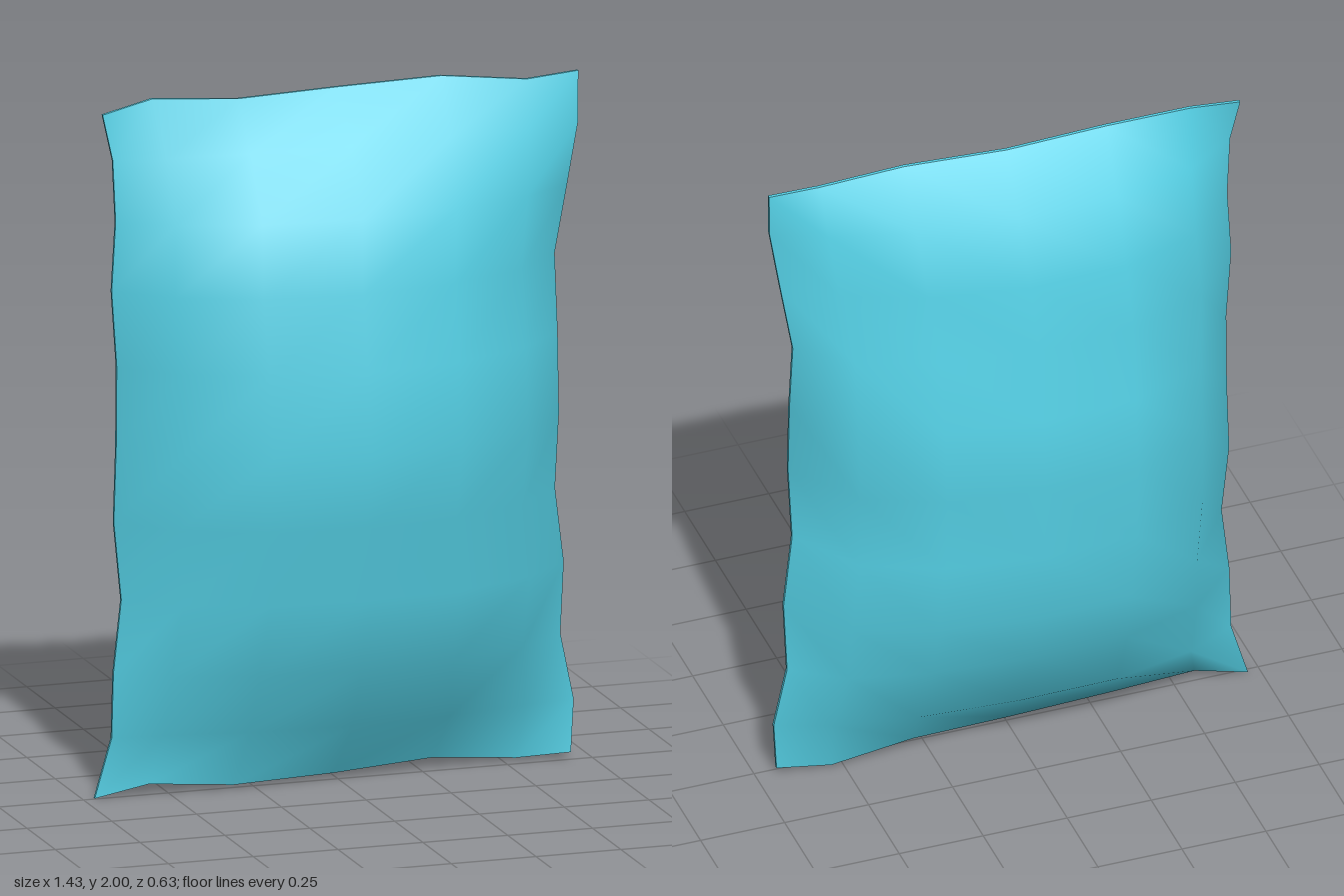
import * as THREE from 'three';

// Seam outline, rows run bottom to top, columns run right (-x) to left (+x)
const rowY = [0, 0.17, 0.36, 0.57, 0.79, 1.01, 1.24, 1.46, 1.66, 1.84, 2];
const edgeMinX = [-0.715, -0.665, -0.665, -0.64, -0.657, -0.65, -0.65, -0.665, -0.655, -0.665, -0.69];
const edgeMaxX = [0.69, 0.7, 0.664, 0.669, 0.638, 0.643, 0.646, 0.647, 0.677, 0.702, 0.712];
const edgeMinZ = [-0.015, -0.01, 0.005, 0, -0.015, -0.015, -0.01, -0.01, -0.005, 0, -0.02];
const edgeMaxZ = [-0.015, -0.02, -0.03, -0.015, 0, 0.02, 0, -0.03, -0.01, 0.01, -0.02];
const colX = [-1, -0.78, -0.43, 0, 0.43, 0.78, 1];
const bottomY = [0, 0.033, 0.013, 0.018, 0.032, 0.008, 0.018];
const bottomZ = [-0.01, 0.005, 0.015, -0.005, -0.03, -0.04, -0.015];
const topY = [1.97, 2, 1.985, 1.99, 2, 1.975, 1.985];
const topZ = [-0.015, -0.035, -0.015, -0.035, -0.025, -0.005, -0.015];

// Bulge of each panel: mid heights, depth along the height, fullness across
// the width, and how strongly each row gathers to the middle on the -x and +x half
const front = {
  midY: rowY,
  depth: [0, 0.08, 0.2, 0.237, 0.278, 0.315, 0.278, 0.252, 0.19, 0.065, 0],
  full: [0, 0.5, 0.86, 1, 0.88, 0.53, 0],
  gatherMin: [1, 2.2, 1.2, 1, 1, 1, 1, 1, 1.1, 1.2, 1],
  gatherMax: [1, 2.2, 1.2, 1, 1, 1, 1, 1.05, 1.2, 1.3, 1],
  side: 1,
};
const back = {
  midY: [0, 0.18, 0.355, 0.555, 0.75, 1, 1.225, 1.435, 1.645, 1.835, 2],
  depth: [0, -0.16, -0.21, -0.3, -0.285, -0.315, -0.295, -0.247, -0.232, -0.157, 0],
  full: [0, 0.66, 0.98, 1, 0.88, 0.59, 0],
  gatherMin: [1, 1.4, 1.1, 1, 1, 1, 1, 1, 1, 1.1, 1],
  gatherMax: [1, 1.4, 1.1, 1, 1, 1, 1, 1.2, 1.8, 1.6, 1],
  side: -1,
};
const ROWS = rowY.length - 1;
const COLS = colX.length - 1;
const HALF_SEAM = 0.005;
const { lerp } = THREE.MathUtils;

// Position of one grid point on a panel
function point(panel, r, c) {
  const t = (colX[c] + 1) / 2;
  const x = lerp(edgeMinX[r], edgeMaxX[r], t);
  const offset = panel.side * HALF_SEAM;
  if (r === 0) return [x, bottomY[c], bottomZ[c] + offset];
  if (r === ROWS) return [x, topY[c], topZ[c] + offset];
  const gather = colX[c] < 0 ? panel.gatherMin : panel.gatherMax;
  const full = panel.full[c] ** gather[r];
  const seam = lerp(edgeMinZ[r], edgeMaxZ[r], t) + offset;
  return [x, lerp(rowY[r], panel.midY[r], full), lerp(seam, panel.depth[r], full)];
}

function toGeometry(positions, index) {
  const g = new THREE.BufferGeometry();
  g.setAttribute('position', new THREE.Float32BufferAttribute(positions, 3));
  g.setIndex(index);
  g.computeVertexNormals();
  return g;
}

// Smooth bulging sheet
function panelGeometry(panel) {
  const positions = [], index = [];
  for (let r = 0; r <= ROWS; r++)
    for (let c = 0; c <= COLS; c++) positions.push(...point(panel, r, c));
  for (let r = 0; r < ROWS; r++)
    for (let c = 0; c < COLS; c++) {
      const a = r * (COLS + 1) + c, b = a + 1, d = a + COLS + 1, e = d + 1;
      if (panel.side > 0) index.push(a, b, e, a, e, d);
      else index.push(a, e, b, a, d, e);
    }
  return toGeometry(positions, index);
}

// Thin strip joining the two sheets around the outline
function seamGeometry() {
  const loop = [];
  for (let c = 0; c < COLS; c++) loop.push([0, c]);
  for (let r = 0; r < ROWS; r++) loop.push([r, COLS]);
  for (let c = COLS; c > 0; c--) loop.push([ROWS, c]);
  for (let r = ROWS; r > 0; r--) loop.push([r, 0]);
  const positions = [], index = [];
  loop.forEach((s, i) => {
    const n = loop[(i + 1) % loop.length];
    positions.push(...point(front, ...s), ...point(back, ...s), ...point(back, ...n), ...point(front, ...n));
    const k = i * 4;
    index.push(k, k + 1, k + 2, k, k + 2, k + 3);
  });
  return toGeometry(positions, index);
}

export function createModel() {
  const group = new THREE.Group();
  group.name = 'pillowBag';
  const material = new THREE.MeshStandardMaterial({ color: 0x54cfe4 });
  const add = (name, geometry) => {
    const mesh = new THREE.Mesh(geometry, material);
    mesh.name = name;
    group.add(mesh);
  };
  add('frontPanel', panelGeometry(front));
  add('backPanel', panelGeometry(back));
  add('edgeSeam', seamGeometry());
  return group;
}
